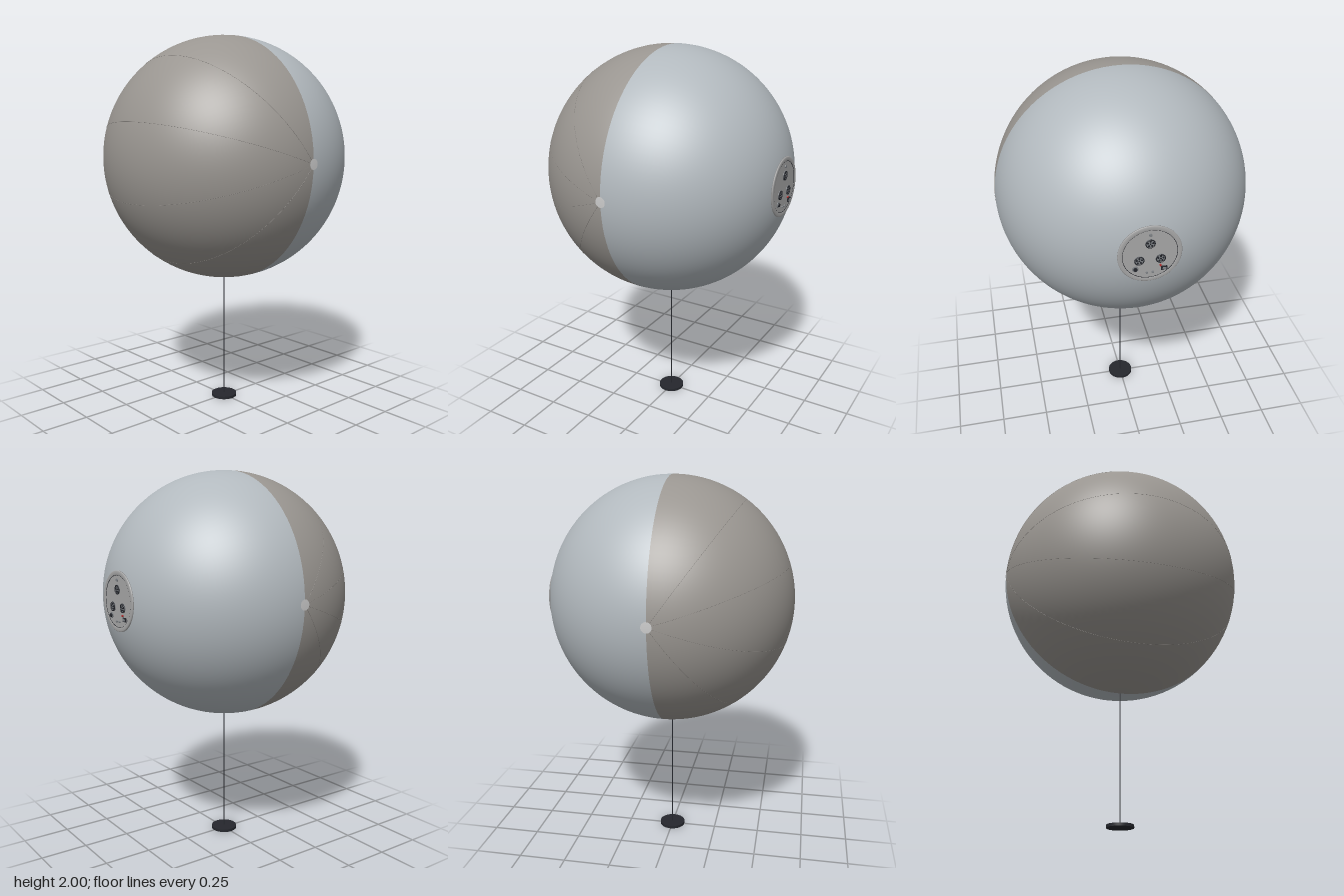
import * as THREE from 'three';

const R = 0.647, CY = 1.353;

const material = (color, side = THREE.FrontSide) =>
  new THREE.MeshStandardMaterial({ color, side });

const frontGrey = material(0x9a9691, THREE.DoubleSide);
const backGrey = material(0xb2b9be, THREE.DoubleSide);
const seamGrey = material(0x85817d);
const light = material(0xcccccc);
const plateGrey = material(0xa8a8a8);
const steel = material(0x808488);
const dark = material(0x25272d);
const red = material(0xb02a2a);

function add(parent, name, geometry, mat, x = 0, y = 0, z = 0) {
  const mesh = new THREE.Mesh(geometry, mat);
  mesh.name = name;
  mesh.position.set(x, y, z);
  parent.add(mesh);
  return mesh;
}

// Cylinder whose axis is z, starting at z = 0
const disc = (r, h, n = 24, rBase = r) =>
  new THREE.CylinderGeometry(r, rBase, h, n).rotateX(Math.PI / 2).translate(0, 0, h / 2);

// Round socket with a rim, a ring of pins and a latch
function createSocket() {
  const socket = new THREE.Group();
  socket.name = 'socket';
  add(socket, 'socketFlange', disc(0.024, 0.003), steel);
  add(socket, 'socketRim', new THREE.TorusGeometry(0.021, 0.0025, 8, 28), dark, 0, 0, 0.004);
  for (let i = 0; i < 5; i++) {
    const a = Math.PI / 2 + (i * Math.PI * 2) / 5;
    add(socket, 'socketPin', disc(0.0048, 0.004, 10), dark, 0.0125 * Math.cos(a), 0.0125 * Math.sin(a), 0.001);
  }
  add(socket, 'socketCentre', disc(0.004, 0.004, 10), dark, 0, 0, 0.001);
  return socket;
}

// Round control panel, built facing +z
function createPanel() {
  const panel = new THREE.Group();
  panel.name = 'controlPanel';
  add(panel, 'panelPlate', disc(0.148, 0.006, 64), plateGrey);

  const rim = [[0.128, 0.005], [0.131, 0.0085], [0.147, 0.0085], [0.151, 0.005], [0.151, 0.001], [0.135, -0.002]]
    .map(([r, h]) => new THREE.Vector2(r, h)).reverse();
  add(panel, 'panelRim', new THREE.LatheGeometry(rim, 64).rotateX(Math.PI / 2),
    material(0xa8a8a8, THREE.DoubleSide));
  add(panel, 'panelGroove', new THREE.TorusGeometry(0.129, 0.0015, 6, 64), dark, 0, 0, 0.006);

  // Three sockets in a triangle
  for (let i = 0; i < 3; i++) {
    const a = Math.PI / 2 + (i * Math.PI * 2) / 3;
    const socket = createSocket();
    socket.position.set(0.058 * Math.cos(a), 0.058 * Math.sin(a), 0.006);
    panel.add(socket);
  }

  // Knob, switch and indicators
  add(panel, 'topButton', disc(0.0075, 0.006, 16), steel, 0, 0.104, 0.006);
  add(panel, 'knobBase', disc(0.015, 0.003), steel, -0.068, -0.074, 0.006);
  add(panel, 'knob', disc(0.009, 0.009), dark, -0.068, -0.074, 0.006);
  add(panel, 'switchFrame', new THREE.BoxGeometry(0.028, 0.02, 0.006), dark, 0.068, -0.084, 0.009);
  add(panel, 'switchRocker', new THREE.BoxGeometry(0.016, 0.012, 0.004), steel, 0.068, -0.084, 0.0135);
  add(panel, 'redLamp', disc(0.005, 0.007, 12), red, 0.05, -0.066, 0.006);
  for (const x of [-0.014, 0.014])
    add(panel, 'smallButton', disc(0.0055, 0.006, 12), steel, x, -0.1, 0.006);
  return panel;
}

export function createModel() {
  const model = new THREE.Group();
  model.name = 'balloonOnStand';

  // Stand
  add(model, 'base', new THREE.CylinderGeometry(0.07, 0.07, 0.015, 48), dark, 0, 0.0075, 0);
  add(model, 'pole', new THREE.CylinderGeometry(0.0035, 0.0035, 0.72, 12), dark, 0, 0.36, 0);

  // Sphere: front half, and back half with an opening for the panel
  const sphere = new THREE.Group();
  sphere.name = 'sphere';
  sphere.position.y = CY;
  model.add(sphere);
  const hole = Math.asin(0.135 / R);
  add(sphere, 'frontShell',
    new THREE.SphereGeometry(R, 96, 40, 0, Math.PI * 2, 0, Math.PI / 2).rotateX(Math.PI / 2), frontGrey);
  add(sphere, 'backShell',
    new THREE.SphereGeometry(R, 96, 40, 0, Math.PI * 2, hole, Math.PI / 2 - hole).rotateX(-Math.PI / 2), backGrey);

  // Fine seams between the front gores, running from side to side
  for (const degrees of [-54, -18, 18, 54]) {
    const seam = new THREE.TorusGeometry(R, 0.0008, 6, 96, Math.PI)
      .rotateX(Math.PI / 2 - THREE.MathUtils.degToRad(degrees));
    add(sphere, 'seam', seam, seamGrey);
  }

  // Caps where the gores meet
  for (const side of [-1, 1]) {
    const cap = new THREE.SphereGeometry(R + 0.002, 32, 3, 0, Math.PI * 2, 0, 0.041)
      .rotateZ(-side * Math.PI / 2);
    add(sphere, 'sideCap', cap, light);
  }

  const panel = createPanel();
  panel.position.z = -0.634;
  panel.rotation.y = Math.PI;
  sphere.add(panel);
  return model;
}
